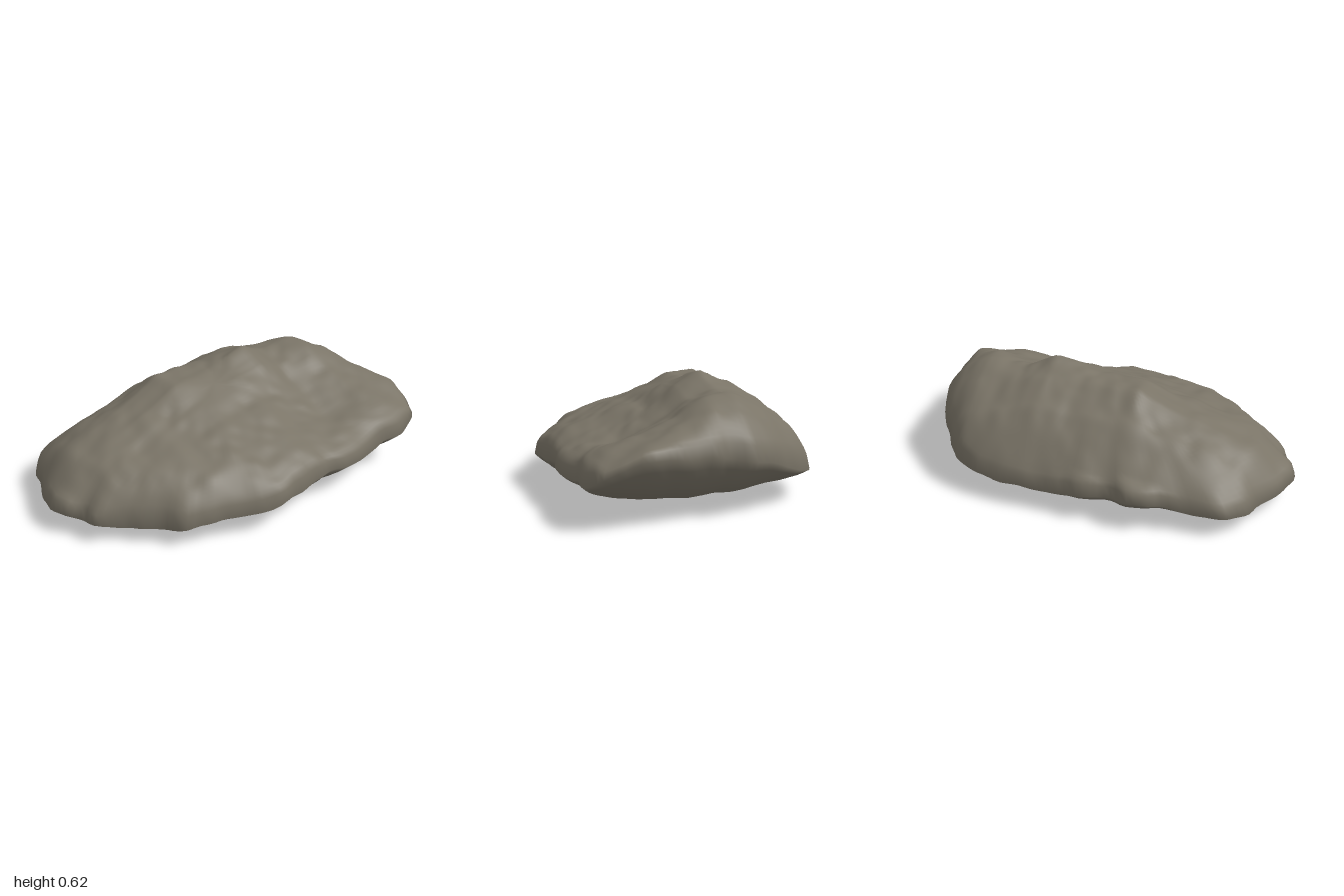
import * as THREE from 'three';
import { mergeVertices } from 'three/addons/utils/BufferGeometryUtils.js';

// rim of the boulder, counterclockwise from the front tip: x, z, height
const RIM = [
  [-0.07, 0.99, 0.12], [0.03, 0.92, 0.1], [0.1, 0.92, 0.1], [0.22, 0.8, 0.09], [0.35, 0.68, 0.09], [0.45, 0.62, 0.1],
  [0.52, 0.47, 0.11], [0.6, 0.32, 0.12], [0.67, 0.18, 0.15], [0.66, 0, 0.16], [0.66, -0.2, 0.17], [0.68, -0.38, 0.17],
  [0.66, -0.6, 0.18], [0.67, -0.78, 0.2], [0.63, -0.92, 0.25], [0.47, -0.995, 0.32], [0.3, -0.98, 0.33],
  [0.13, -0.97, 0.32], [0, -0.94, 0.3], [-0.12, -0.95, 0.28], [-0.25, -0.89, 0.24], [-0.4, -0.79, 0.19], [-0.52, -0.68, 0.15],
  [-0.59, -0.53, 0.13], [-0.62, -0.37, 0.12], [-0.62, -0.2, 0.12], [-0.65, 0, 0.14], [-0.63, 0.15, 0.15], [-0.68, 0.26, 0.16],
  [-0.65, 0.4, 0.14], [-0.61, 0.52, 0.11], [-0.61, 0.7, 0.1], [-0.55, 0.79, 0.09], [-0.4, 0.87, 0.09], [-0.25, 0.95, 0.1],
];

// heights of the upper surface: rows run back to front, columns right to left
const XS = [-0.6, -0.4, -0.24, -0.09, 0.05, 0.2, 0.4, 0.6];
const ZS = [-0.95, -0.82, -0.68, -0.46, -0.3, -0.06, 0.2, 0.4, 0.6, 0.78, 0.92];
const TOP = [
  [0.24, 0.33, 0.39, 0.44, 0.46, 0.45, 0.41, 0.33],
  [0.25, 0.36, 0.45, 0.51, 0.52, 0.46, 0.4, 0.33],
  [0.26, 0.41, 0.5, 0.56, 0.55, 0.46, 0.39, 0.33],
  [0.26, 0.44, 0.52, 0.54, 0.5, 0.41, 0.33, 0.29],
  [0.26, 0.46, 0.565, 0.62, 0.55, 0.44, 0.34, 0.29],
  [0.26, 0.45, 0.55, 0.56, 0.52, 0.44, 0.38, 0.32],
  [0.26, 0.45, 0.56, 0.55, 0.47, 0.41, 0.36, 0.28],
  [0.25, 0.39, 0.46, 0.46, 0.41, 0.37, 0.32, 0.24],
  [0.22, 0.34, 0.39, 0.39, 0.36, 0.34, 0.27, 0.2],
  [0.19, 0.28, 0.33, 0.33, 0.31, 0.26, 0.2, 0.16],
  [0.15, 0.19, 0.22, 0.23, 0.21, 0.18, 0.15, 0.12],
];

// position of v along an uneven axis, softened between stations
function locate(axis, v) {
  let i = 0;
  while (i < axis.length - 2 && v > axis[i + 1]) i++;
  const f = THREE.MathUtils.clamp((v - axis[i]) / (axis[i + 1] - axis[i]), 0, 1);
  return [i, f * 0.75 + f * f * (3 - 2 * f) * 0.25];
}

function topHeight(x, z) {
  const [i, u] = locate(XS, x), [j, v] = locate(ZS, z);
  const { lerp } = THREE.MathUtils;
  return lerp(lerp(TOP[j][i], TOP[j][i + 1], u), lerp(TOP[j + 1][i], TOP[j + 1][i + 1], u), v);
}

// shallow keel of the underside, lowest near the middle
function baseHeight(x, z) {
  const side = x < 0.13 ? 0.06 * (0.13 - x) : 0.09 * (x - 0.13);
  return 0.002 + side + (z < 0 ? -0.07 * z : 0.03 * z);
}

// seeded value noise in -1..1
function hash(i, j) {
  const s = Math.sin(i * 127.1 + j * 311.7 + 17.3) * 43758.5453;
  return (s - Math.floor(s)) * 2 - 1;
}
function noise(x, z) {
  const i = Math.floor(x), j = Math.floor(z), s = f => f * f * (3 - 2 * f);
  const u = s(x - i), v = s(z - j), { lerp } = THREE.MathUtils;
  return lerp(lerp(hash(i, j), hash(i + 1, j), u), lerp(hash(i, j + 1), hash(i + 1, j + 1), u), v);
}

function boulderGeometry() {
  const N = 160, UP = 38, DOWN = 24;
  const curve = new THREE.CatmullRomCurve3(RIM.map(([x, z, y]) => new THREE.Vector3(x, y, z)), true, 'centripetal');
  const rim = curve.getSpacedPoints(N).slice(0, N);
  // small chips along the rim
  for (const p of rim) {
    const chip = 1 + 0.01 * noise(p.x * 14, p.z * 14 + 9);
    p.set(p.x * chip, p.y + 0.012 * noise(p.x * 9 + 4, p.z * 9), THREE.MathUtils.clamp(p.z * chip, -1, 1));
  }
  const pos = [], idx = [];

  // rings from the crown out to the rim, then back in underneath
  for (let r = 0; r <= UP + DOWN; r++) {
    const upper = r <= UP;
    const t = upper ? Math.pow(r / UP, 0.75) : Math.pow((UP + DOWN - r) / DOWN, 0.8);
    for (const p of rim) {
      const x = p.x * t, z = p.z * t;
      let y;
      if (upper) {
        const rough = 0.01 * noise(x * 7, z * 7) + 0.007 * noise(x * 16 + 5, z * 16);
        y = p.y + (topHeight(x, z) + rough - p.y) * Math.sqrt(1 - Math.pow(t, 12));
      } else {
        const base = baseHeight(x, z);
        const rough = 0.005 * (1 - Math.pow(t, 8)) * noise(x * 8, z * 8 + 30);
        y = base + (p.y - base) * Math.pow(t, 8) + rough;
      }
      pos.push(x, Math.max(0, y), z);
    }
  }
  for (let r = 0; r < UP + DOWN; r++) {
    for (let k = 0; k < N; k++) {
      const a = r * N + k, b = r * N + (k + 1) % N, c = a + N, d = b + N;
      if (r < UP + DOWN - 1) idx.push(a, c, d);
      else idx.push(a, c, b);
      if (r > 0 && r < UP + DOWN - 1) idx.push(a, d, b);
    }
  }
  const g = new THREE.BufferGeometry();
  g.setAttribute('position', new THREE.Float32BufferAttribute(pos, 3));
  g.setIndex(idx);
  const merged = mergeVertices(g, 1e-5);
  merged.computeVertexNormals();
  return merged;
}

export function createModel() {
  const group = new THREE.Group();
  group.name = 'rock';
  const stone = new THREE.MeshStandardMaterial({ color: 0x7a7467 });
  stone.name = 'grey brown stone';
  const boulder = new THREE.Mesh(boulderGeometry(), stone);
  boulder.name = 'boulder';
  group.add(boulder);
  return group;
}
